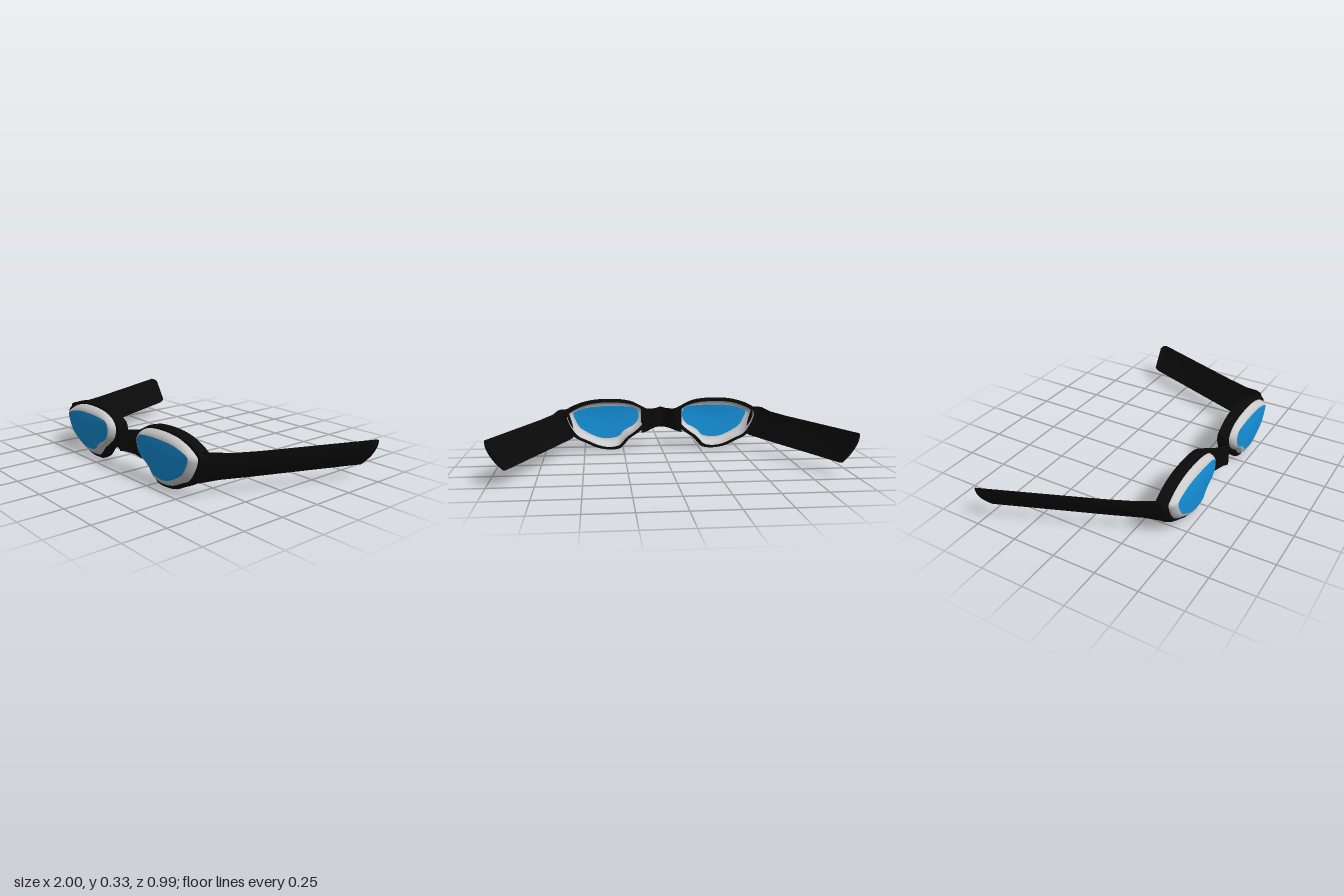
import * as THREE from 'three';
import { toCreasedNormals } from 'three/addons/utils/BufferGeometryUtils.js';

const material = (color) => new THREE.MeshStandardMaterial({ color, side: THREE.DoubleSide });
const black = material(0x0a0a0a), grey = material(0xcccccc), blue = material(0x1592dc);

// Skins closed rings of [x, y, z] points, with optional fan caps at both ends
function loft(name, rings, mat, { caps = false, crease = 0.7 } = {}) {
  const n = rings[0].length, pos = rings.flat(2), index = [];
  for (let r = 0; r < rings.length - 1; r++) {
    for (let i = 0; i < n; i++) {
      const a = r * n + i, b = r * n + (i + 1) % n;
      index.push(a, b, b + n, a, b + n, a + n);
    }
  }
  if (caps) {
    for (const r of [0, rings.length - 1]) {
      const c = pos.length / 3;
      pos.push(...[0, 1, 2].map((k) => rings[r].reduce((s, p) => s + p[k], 0) / n));
      for (let i = 0; i < n; i++) {
        const a = r * n + i, b = r * n + (i + 1) % n;
        index.push(...(r === 0 ? [b, a, c] : [a, b, c]));
      }
    }
  }
  const g = new THREE.BufferGeometry();
  g.setAttribute('position', new THREE.Float32BufferAttribute(pos, 3));
  g.setIndex(index);
  const mesh = new THREE.Mesh(toCreasedNormals(g, crease), mat);
  mesh.name = name;
  return mesh;
}

// Smooth closed outline through matching control points
function outline(points) {
  const curve = new THREE.CatmullRomCurve3(points.map(([x, y]) => new THREE.Vector3(x, y, 0)), true);
  return Array.from({ length: 76 }, (_, i) => curve.getPoint(i / 76));
}
const blend = (a, b, t, z) => a.map((p, i) => [p.x + (b[i].x - p.x) * t, p.y + (b[i].y - p.y) * t, z]);

const frameEdge = outline([[0.08, 0.25], [0.13, 0.285], [0.21, 0.322], [0.34, 0.335], [0.46, 0.327], [0.55, 0.302],
  [0.61, 0.272], [0.645, 0.24], [0.635, 0.19], [0.6, 0.125], [0.56, 0.085], [0.49, 0.05], [0.42, 0.018],
  [0.34, 0.005], [0.27, 0.012], [0.235, 0.045], [0.21, 0.075], [0.15, 0.115], [0.1, 0.16]]);
const rimEdge = outline([[0.11, 0.235], [0.145, 0.28], [0.22, 0.308], [0.34, 0.318], [0.45, 0.31], [0.53, 0.287],
  [0.585, 0.258], [0.61, 0.235], [0.6, 0.19], [0.57, 0.135], [0.54, 0.1], [0.48, 0.07], [0.41, 0.038],
  [0.34, 0.025], [0.28, 0.035], [0.25, 0.063], [0.225, 0.09], [0.17, 0.13], [0.125, 0.175]]);
const lensEdge = outline([[0.146, 0.235], [0.165, 0.264], [0.22, 0.275], [0.34, 0.28], [0.45, 0.275], [0.52, 0.26],
  [0.558, 0.246], [0.573, 0.232], [0.56, 0.19], [0.53, 0.14], [0.49, 0.112], [0.44, 0.085], [0.39, 0.068],
  [0.33, 0.066], [0.275, 0.08], [0.25, 0.11], [0.215, 0.133], [0.175, 0.155], [0.15, 0.19]]);

function eyepiece() {
  const g = new THREE.Group();
  // Black gasket around the cup
  g.add(loft('frame', [[0, 0.383], [0.8, 0.383], [1, 0.41], [1, 0.43], [0.6, 0.445], [0, 0.446]]
    .map(([t, z]) => blend(rimEdge, frameEdge, t, z)), black));
  // Grey domed cup
  g.add(loft('rim', [[0, 0.384], [0, 0.445], [0.2, 0.46], [0.5, 0.473], [0.8, 0.48], [1, 0.482]]
    .map(([t, z]) => blend(rimEdge, lensEdge, t, z)), grey, { crease: 1.2 }));
  // Slightly bulging lens
  const centre = lensEdge.map(() => new THREE.Vector3(0.36, 0.19, 0));
  g.add(loft('lens', [[0, 0.482], [0.3, 0.485], [0.65, 0.487], [1, 0.488]]
    .map(([t, z]) => blend(lensEdge, centre, t, z)), blue));
  return g;
}

// Thin strap: leans inward at the bottom and bows outward
function strap() {
  const sections = [ // z, top x, bottom y, top y, lean
    [0.435, 0.615, 0.1, 0.27, 0.04], [0.415, 0.645, 0.092, 0.272, 0.065], [0.38, 0.667, 0.09, 0.27, 0.085],
    [0.3, 0.695, 0.092, 0.257, 0.09], [0.15, 0.755, 0.09, 0.252, 0.09], [-0.465, 1, 0.088, 0.25, 0.094],
    [-0.485, 0.997, 0.095, 0.244, 0.088], [-0.497, 0.985, 0.108, 0.232, 0.075]];
  const steps = 8;
  const rings = sections.map(([z, x, y0, y1, lean]) => {
    const side = (thick) => Array.from({ length: steps + 1 }, (_, i) => {
      const v = i / steps;
      return [x - lean * (1 - v) ** 1.8 - thick * (0.3 + 0.7 * Math.sin(Math.PI * v)), y0 + (y1 - y0) * v, z];
    });
    return [...side(0), ...side(0.022).reverse()];
  });
  return loft('strap', rings, black, { caps: true });
}

// Nose bridge, peaked forward in the middle
function bridge() {
  const half = [ // x, back z, front z, bottom y, top y
    [0.13, 0.384, 0.444, 0.115, 0.283], [0.105, 0.384, 0.447, 0.122, 0.267], [0.085, 0.39, 0.453, 0.128, 0.262],
    [0.06, 0.432, 0.466, 0.134, 0.261], [0.03, 0.468, 0.479, 0.137, 0.263], [0.012, 0.482, 0.49, 0.137, 0.268]];
  const mirrored = half.map(([x, ...rest]) => [-x, ...rest]);
  const rings = [...mirrored, [0, 0.487, 0.497, 0.137, 0.27], ...half.reverse()]
    .map(([x, zb, zf, y0, y1]) => [[x, y0, zb], [x, y0, zf], [x, y1, zf], [x, y1, zb]]);
  return loft('noseBridge', rings, black);
}

export function createModel() {
  const model = new THREE.Group();
  model.name = 'goggles';
  for (const [name, s] of [['left', 1], ['right', -1]]) {
    const half = new THREE.Group();
    half.name = name + 'Side';
    const eye = eyepiece();
    eye.name = name + 'Eyepiece';
    half.add(eye, strap());
    half.scale.x = s;
    model.add(half);
  }
  model.add(bridge());
  return model;
}
